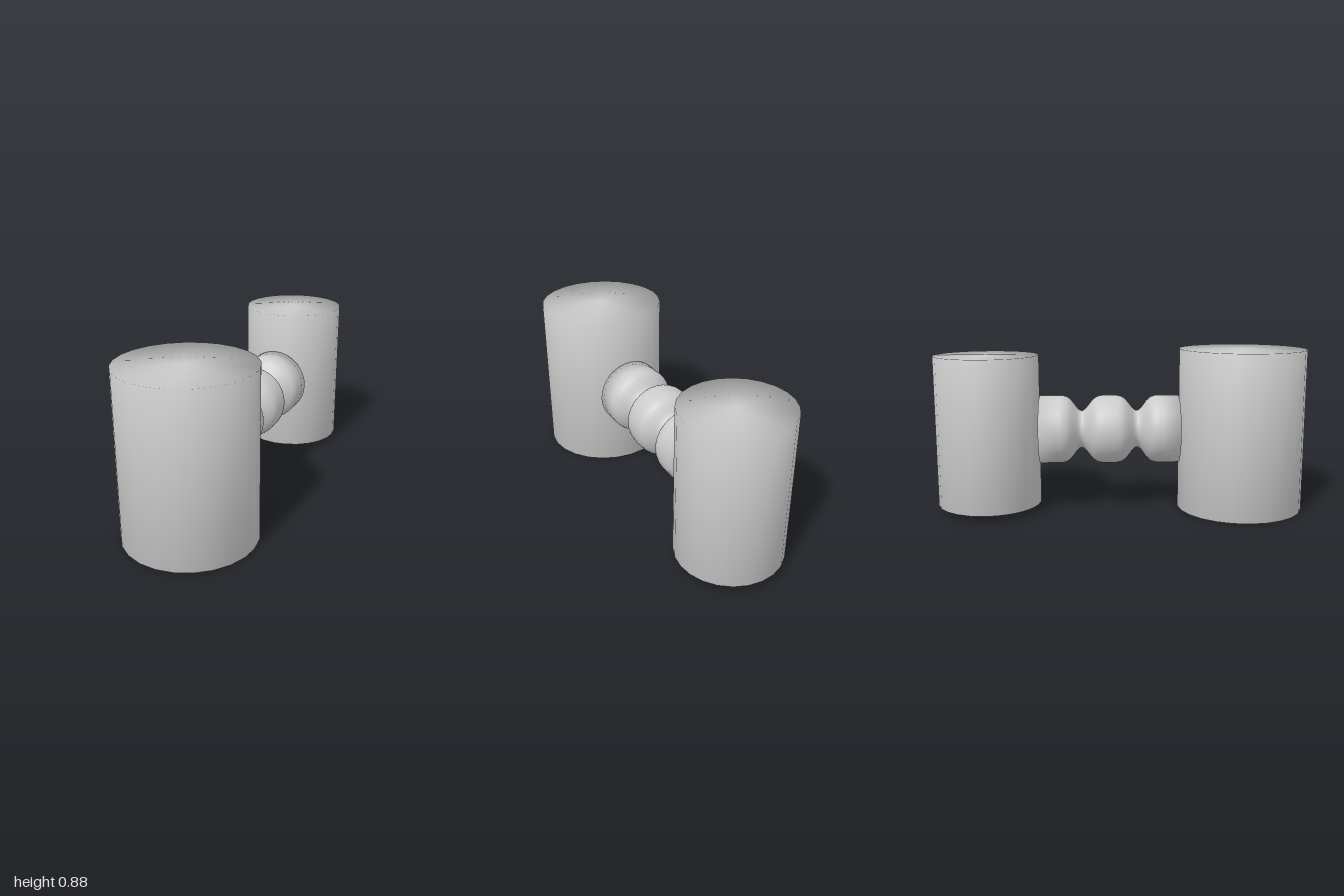
import * as THREE from 'three';
import { mergeVertices } from 'three/addons/utils/BufferGeometryUtils.js';

const SIDES = 24;
const material = new THREE.MeshStandardMaterial({ color: 0xcccccc });

// Weld all corners so the shading runs softly over the rims
function weld(geometry) {
  geometry.deleteAttribute('normal');
  geometry.deleteAttribute('uv');
  const welded = mergeVertices(geometry, 1e-4);
  welded.computeVertexNormals();
  return welded;
}

function addDrum(group, name, radius, bottom, top, z) {
  const geometry = new THREE.CylinderGeometry(radius, radius, top - bottom, SIDES);
  const mesh = new THREE.Mesh(weld(geometry), material);
  mesh.name = name;
  mesh.position.set(0, (bottom + top) / 2, z);
  group.add(mesh);
}

// Turned bar with two necks and a bulge in the middle, closed at both ends
function addConnector(group) {
  const half = [
    [0.04, 0.185], [0.08, 0.17], [0.11, 0.137], [0.13, 0.112], [0.15, 0.101],
    [0.17, 0.112], [0.195, 0.145], [0.22, 0.172], [0.25, 0.184], [0.275, 0.185],
  ];
  const right = half.map(([t, r]) => new THREE.Vector2(r, t));
  const left = half.map(([t, r]) => new THREE.Vector2(r, -t)).reverse();
  const curve = new THREE.SplineCurve([...left, ...right]);
  const end = 0.376;
  const profile = [
    new THREE.Vector2(0, -end), new THREE.Vector2(0.185, -end),
    ...curve.getPoints(57),
    new THREE.Vector2(0.185, end), new THREE.Vector2(0, end),
  ];
  const geometry = new THREE.LatheGeometry(profile, 32);
  geometry.rotateX(Math.PI / 2);
  const mesh = new THREE.Mesh(weld(geometry), material);
  mesh.name = 'connector';
  mesh.position.set(0, 0.44, -0.063);
  group.add(mesh);
}

export function createModel() {
  const group = new THREE.Group();
  group.name = 'doubleDrum';
  addDrum(group, 'frontDrum', 0.342, 0, 0.876, 0.658);
  addDrum(group, 'backDrum', 0.28, 0.035, 0.845, -0.72);
  addConnector(group);
  return group;
}
